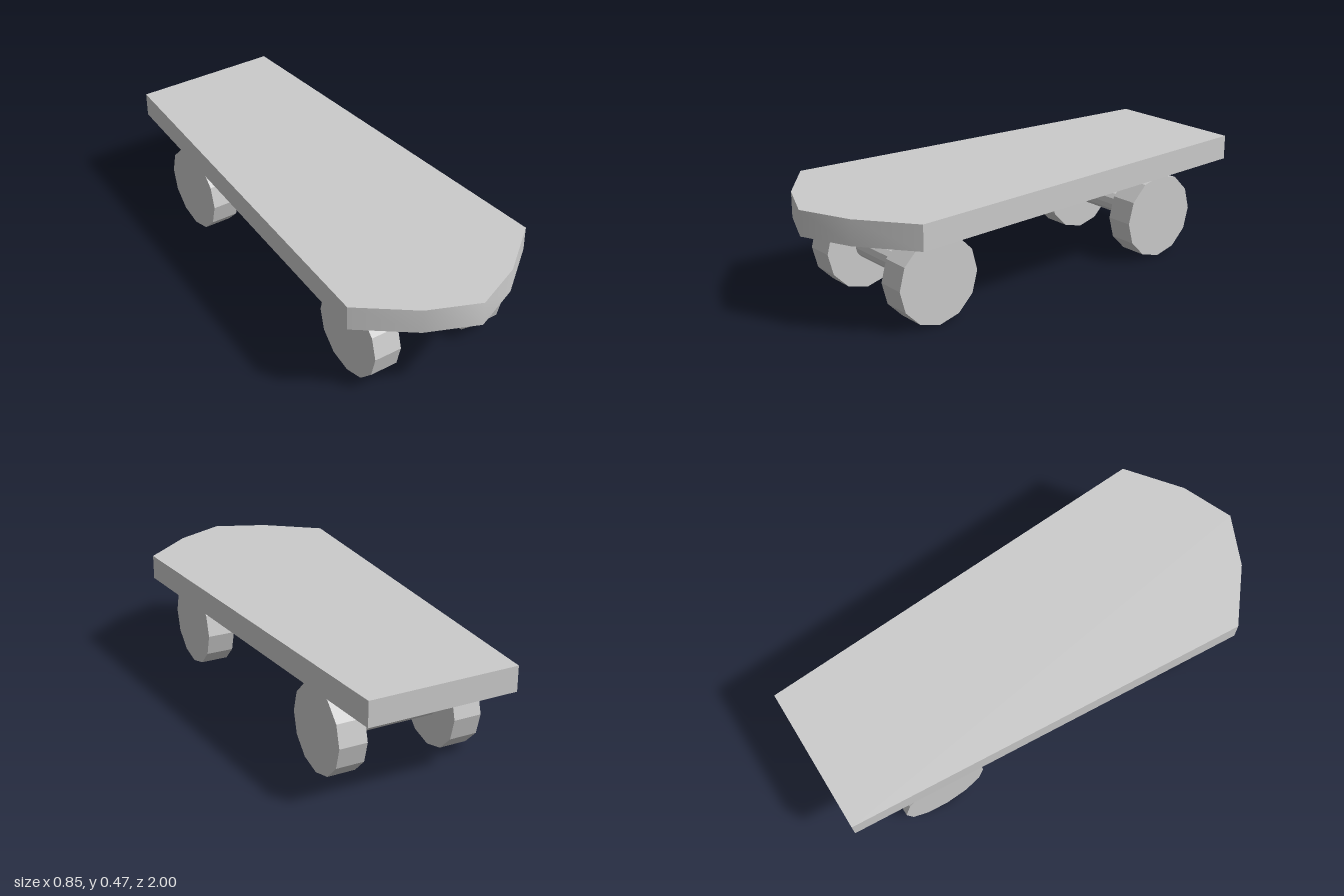
import * as THREE from 'three';
import { toCreasedNormals } from 'three/addons/utils/BufferGeometryUtils.js';

const SIDES = 12;
const RADIUS = 0.183;

export function createModel() {
  const board = new THREE.Group();
  board.name = 'skateboard';
  const smooth = new THREE.MeshStandardMaterial({ color: 0xcccccc });
  const faceted = new THREE.MeshStandardMaterial({ color: 0xcccccc, flatShading: true });

  // Deck: tapered towards the square tail, with a rounded nose
  const outline = [
    [-0.315, -1], [0.315, -1], [0.425, 0.74], [0.21, 0.91],
    [0, 1], [-0.21, 0.91], [-0.425, 0.74],
  ].map(([x, z]) => new THREE.Vector2(x, z));
  const deckGeometry = new THREE.ExtrudeGeometry(new THREE.Shape(outline), { depth: 0.105, bevelEnabled: false });
  deckGeometry.rotateX(Math.PI / 2).translate(0, 0.475, 0);
  // The crease angle keeps the nose smooth and its outer corners sharp
  const deck = new THREE.Mesh(toCreasedNormals(deckGeometry, THREE.MathUtils.degToRad(47.2)), smooth);
  deck.name = 'deck';
  board.add(deck);

  // Cylinder lying along x
  const addRoller = (parent, name, radius, width, x) => {
    const geometry = new THREE.CylinderGeometry(radius, radius, width, SIDES).rotateZ(Math.PI / 2);
    const mesh = new THREE.Mesh(geometry, faceted);
    mesh.name = name;
    mesh.position.x = x;
    parent.add(mesh);
  };

  // Two trucks, each an axle with a wheel at either end
  for (const [name, z] of [['front', 0.587], ['rear', -0.602]]) {
    const truck = new THREE.Group();
    truck.name = `${name}Truck`;
    truck.position.set(-0.003, RADIUS, z);
    addRoller(truck, `${name}Axle`, 0.049, 0.383, 0);
    addRoller(truck, `${name}LeftWheel`, RADIUS, 0.12, 0.251);
    addRoller(truck, `${name}RightWheel`, RADIUS, 0.12, -0.251);
    board.add(truck);
  }

  return board;
}
